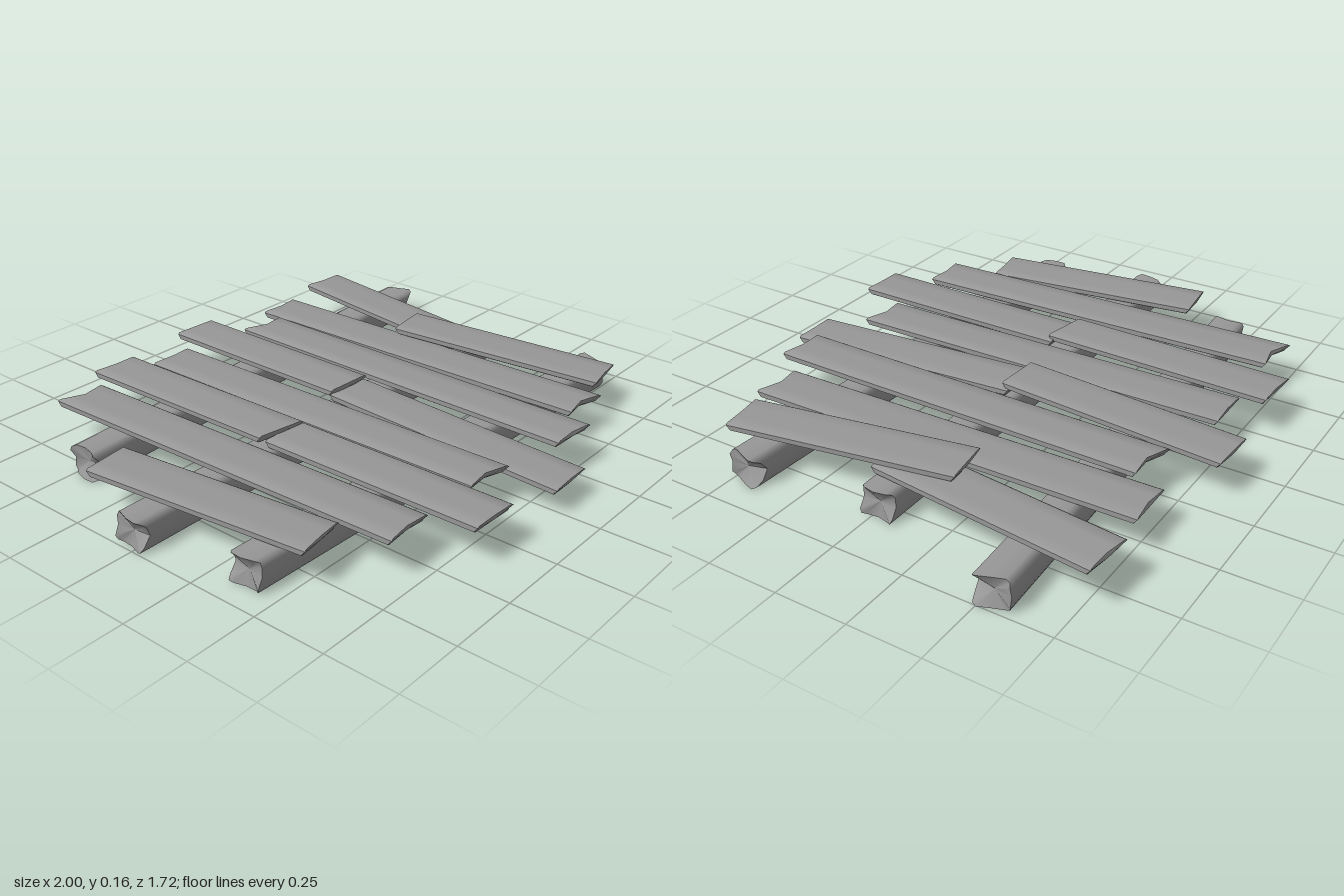
import * as THREE from 'three';
import { mergeVertices, toCreasedNormals } from 'three/addons/utils/BufferGeometryUtils.js';

const material = new THREE.MeshStandardMaterial({ color: 0x979797 });

// Lofts a cross-section from point a to point b. startOffset and endOffset push each
// section point outwards along the length, which makes splintered ends.
function loft(name, section, a, b, startOffset, endOffset, dent = 0) {
  const A = new THREE.Vector3(...a), B = new THREE.Vector3(...b);
  const length = A.distanceTo(B);
  const z = B.clone().sub(A).normalize();
  const x = new THREE.Vector3(0, 1, 0).cross(z).normalize();
  const y = z.clone().cross(x);
  const n = section.length;
  const pos = [], index = [];
  section.forEach(([u, v], k) => pos.push(u, v, -startOffset(u, v, k)));
  section.forEach(([u, v], k) => pos.push(u, v, length + endOffset(u, v, k)));
  pos.push(0, 0, dent, 0, 0, length - dent);
  for (let k = 0; k < n; k++) {
    const m = (k + 1) % n;
    index.push(k, m, n + m, k, n + m, n + k);
    index.push(2 * n, m, k, 2 * n + 1, n + k, n + m);
  }
  const geometry = new THREE.BufferGeometry();
  geometry.setAttribute('position', new THREE.Float32BufferAttribute(pos, 3));
  geometry.setIndex(index);
  geometry.applyMatrix4(new THREE.Matrix4().makeBasis(x, y, z).setPosition(A));
  const mesh = new THREE.Mesh(toCreasedNormals(mergeVertices(geometry), 0.85), material);
  mesh.name = name;
  return mesh;
}

// Rounded square outline, counter-clockwise, with a midpoint on every side
function beamSection(w, h, r) {
  const points = [];
  const corners = [[1, 1], [-1, 1], [-1, -1], [1, -1]];
  corners.forEach(([sx, sy], q) => {
    points.push([[w / 2, 0], [0, h / 2], [-w / 2, 0], [0, -h / 2]][q]);
    for (let i = 0; i <= 2; i++) {
      const t = (q + i / 2) * Math.PI / 2;
      points.push([sx * (w / 2 - r) + r * Math.cos(t), sy * (h / 2 - r) + r * Math.sin(t)]);
    }
  });
  return points;
}

// Thin board outline with softened edges and points across the width
function plankSection(w, t) {
  const h = w / 2, e = 0.008, c = t / 2;
  const across = [h - e, h * 0.4, 0, -h * 0.4, -h + e];
  return [
    [h, -c + 0.005], [h, c - 0.005],
    ...across.map(u => [u, c]),
    [-h, c - 0.005], [-h, -c + 0.005],
    ...across.reverse().map(u => [u, -c]),
  ];
}

// Follows a [left, middle, right] break line across the plank, undercut at the bottom
function breakLine([l, m, r], half) {
  return (u, v) => m + ((u < 0 ? l : r) - m) * Math.abs(u) / half - (v < 0 ? 0.014 : 0);
}

export function createModel() {
  const group = new THREE.Group();
  group.name = 'plankPlatform';

  // Three beams lying across, with splintered ends
  const beam = beamSection(0.12, 0.106, 0.02);
  const splinter = (amount, phase) => (u, v, k) =>
    amount * (0.7 * Math.abs(v) / 0.053 - 0.6 + 0.4 * Math.sin(k * 1.2 + phase));
  const beams = [
    ['backBeam', [-0.80, 0.053, -0.447], [0.985, 0.053, -0.542], 0.03, 0.035, 0.4],
    ['middleBeam', [-0.985, 0.053, -0.02], [0.82, 0.053, -0.024], 0.03, 0.03, 2.1],
    ['frontBeam', [-0.915, 0.053, 0.384], [0.885, 0.053, 0.447], 0.03, 0.04, 3.6],
  ];
  for (const [name, a, b, s0, s1, phase] of beams)
    group.add(loft(name, beam, a, b, splinter(s0, phase), splinter(s1, phase + 1), 0.02));

  // Planks: back end, front end, then back and front break lines
  const width = 0.178;
  const plank = plankSection(width, 0.027);
  const flat = [0, 0, 0];
  const planks = [
    ['outerRightPlank', [-0.83, 0.126, -0.30], [-0.73, 0.12, 0.51], flat, [0.005, 0, 0]],
    ['longPlankA', [-0.577, 0.126, -0.71], [-0.54, 0.126, 0.67], [0.035, -0.005, 0.01], [0.01, 0, 0.01]],
    ['backShortPlankA', [-0.342, 0.124, -0.82], [-0.345, 0.136, 0.005], [0.01, 0, 0], [-0.015, 0, 0.015]],
    ['frontShortPlankA', [-0.33, 0.121, 0.0], [-0.33, 0.126, 0.83], flat, [0, 0, 0.005]],
    ['longPlankB', [-0.147, 0.115, -0.73], [-0.13, 0.115, 0.66], [0.005, 0, 0.005], [0.01, 0, 0.03]],
    ['backShortPlankB', [0.092, 0.122, -0.855], [0.052, 0.143, -0.04], flat, flat],
    ['frontShortPlankB', [0.06, 0.123, -0.06], [0.065, 0.08, 0.85], flat, [0.005, 0, 0]],
    ['longPlankC', [0.28, 0.126, -0.65], [0.26, 0.126, 0.74], [0.035, 0, 0.01], [0, -0.005, 0.01]],
    ['longPlankD', [0.477, 0.115, -0.76], [0.497, 0.115, 0.63], [0.005, -0.005, 0.005], [0.015, 0, 0.03]],
    ['backLeftPlank', [0.775, 0.134, -0.785], [0.668, 0.12, 0.03], [0, -0.005, 0.005], flat],
    ['frontLeftPlank', [0.618, 0.15, -0.22], [0.73, 0.127, 0.59], flat, [0.005, 0, 0]],
  ];
  for (const [name, a, b, back, front] of planks)
    group.add(loft(name, plank, a, b, breakLine(back, width / 2), breakLine(front, width / 2)));

  return group;
}
